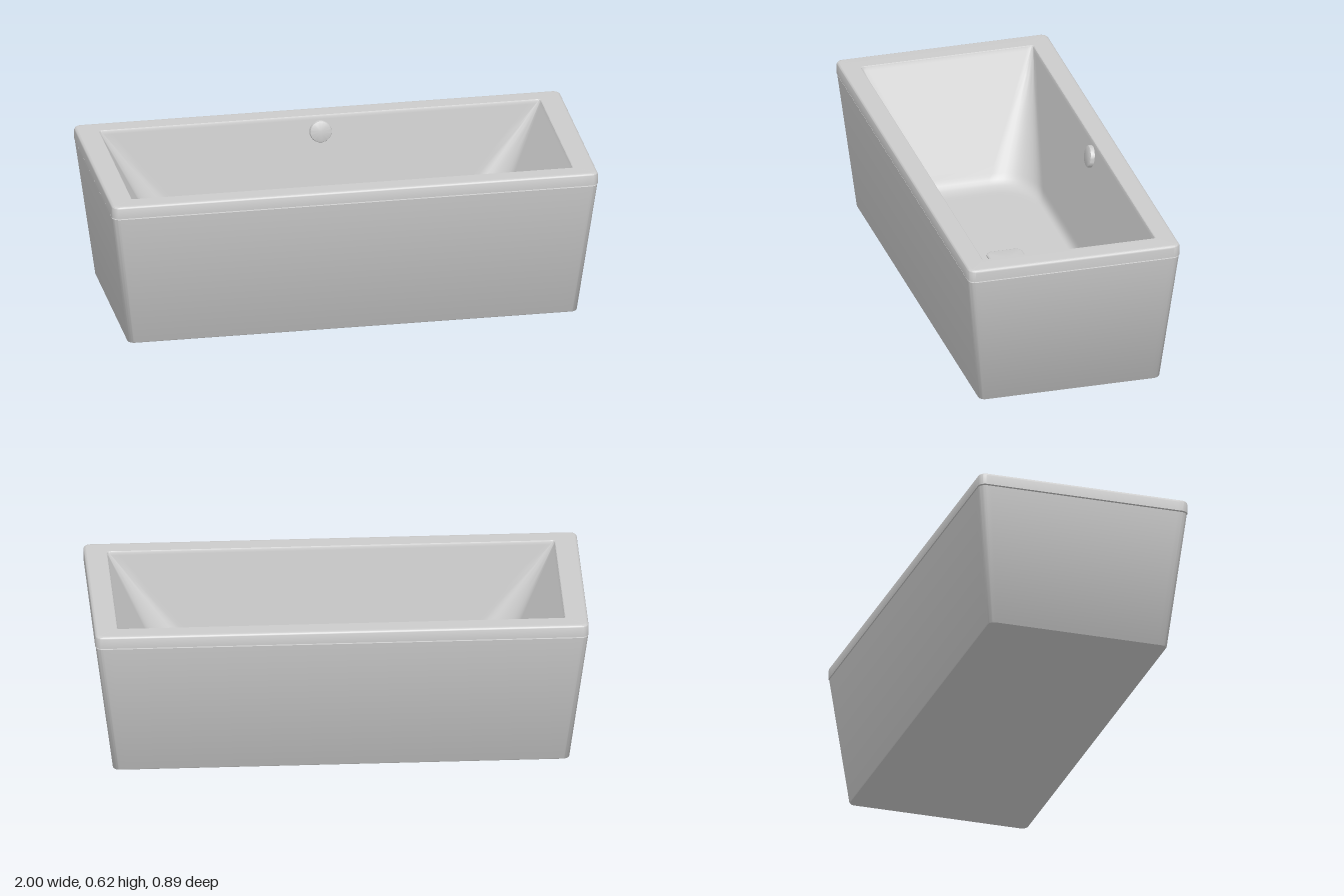
import * as THREE from 'three';
import { toCreasedNormals } from 'three/addons/utils/BufferGeometryUtils.js';

const material = new THREE.MeshStandardMaterial({ color: 0xcccccc });
const CORNER_STEPS = 10;
const FLOOR = 0.14;

// Rounded rectangle outline, counter-clockwise seen from above
function outline([hx, hz, r, y]) {
  const corners = [];
  for (let c = 0; c < 4; c++) {
    const sx = c === 0 || c === 3 ? 1 : -1;
    const sz = c < 2 ? -1 : 1;
    for (let k = 0; k <= CORNER_STEPS; k++) {
      const a = (c + k / CORNER_STEPS) * Math.PI / 2;
      corners.push(new THREE.Vector3(
        sx * (hx - r) + r * Math.cos(a), y, sz * (hz - r) - r * Math.sin(a)));
    }
  }
  // Extra points close to each corner keep the long flat sides evenly shaded
  const points = [];
  corners.forEach((p, i) => {
    points.push(p);
    if (i % (CORNER_STEPS + 1) === CORNER_STEPS) {
      const next = corners[(i + 1) % corners.length];
      for (const t of [0.02, 0.98]) points.push(p.clone().lerp(next, t));
    }
  });
  return points;
}

// Skin a stack of outlines [halfX, halfZ, radius, y], optionally closing its ends
function loft(name, sections, { bottom = false, top = false } = {}) {
  const rings = sections.map(outline);
  const n = rings[0].length;
  const positions = rings.flat().flatMap((p) => p.toArray());
  const index = [];
  for (let i = 0; i < rings.length - 1; i++) {
    for (let j = 0; j < n; j++) {
      const k = (j + 1) % n;
      const a = i * n + j, b = i * n + k;
      index.push(a, b, b + n, a, b + n, a + n);
    }
  }
  const cap = (ring, flip) => {
    const centre = positions.length / 3;
    positions.push(0, sections[ring][3], 0);
    for (let j = 0; j < n; j++) {
      const a = ring * n + j, b = ring * n + (j + 1) % n;
      index.push(centre, flip ? b : a, flip ? a : b);
    }
  };
  if (bottom) cap(0, true);
  if (top) cap(rings.length - 1, false);
  const geometry = new THREE.BufferGeometry();
  geometry.setAttribute('position', new THREE.Float32BufferAttribute(positions, 3));
  geometry.setIndex(index);
  const mesh = new THREE.Mesh(toCreasedNormals(geometry, 0.6), material);
  mesh.name = name;
  return mesh;
}

export function createModel() {
  const tub = new THREE.Group();
  tub.name = 'bathtub';

  // Tapered outer casing, ending in a narrow shadow gap below the rim
  tub.add(loft('casing', [
    [0.922, 0.378, 0.025, 0],
    [0.925, 0.381, 0.028, 0.004],
    [0.998, 0.443, 0.03, 0.57],
    [0.988, 0.433, 0.025, 0.572],
    [0.988, 0.433, 0.025, 0.578],
  ], { bottom: true }));

  // Flat rim with rounded upper edge
  const rim = [
    [0.985, 0.43, 0.02, 0.575],
    [1, 0.445, 0.03, 0.575],
    [1, 0.445, 0.03, 0.58],
  ];
  const edge = 0.012;
  for (let k = 0; k <= 5; k++) {
    const a = k / 5 * Math.PI / 2;
    const inset = edge * (1 - Math.cos(a));
    rim.push([1 - inset, 0.445 - inset, 0.03 - inset, 0.625 - edge * (1 - Math.sin(a))]);
  }
  rim.push([0.983, 0.428, 0.015, 0.625], [0.914, 0.369, 0.012, 0.625], [0.91, 0.365, 0.01, 0.625]);
  tub.add(loft('rim', rim));

  // Basin: crisp corners at the opening open into broad curves at the floor
  const wall = (t) => [
    THREE.MathUtils.lerp(0.905, 0.65, t),
    THREE.MathUtils.lerp(0.36, 0.28, t),
    THREE.MathUtils.lerp(0.008, 0.18, t),
    THREE.MathUtils.lerp(0.618, FLOOR, t),
  ];
  const basin = [[0.91, 0.365, 0.01, 0.625], [0.907, 0.362, 0.009, 0.623]];
  for (const t of [0, 0.02, 0.2, 0.4, 0.6, 0.8, 0.9]) basin.push(wall(t));
  // Fillet between wall and floor
  const start = wall(0.92);
  const foot = wall(1);
  const end = [0.6, 0.25, 0.15, FLOOR];
  for (let k = 0; k <= 6; k++) {
    const t = k / 6;
    basin.push(start.map((s, i) => (1 - t) ** 2 * s + 2 * t * (1 - t) * foot[i] + t * t * end[i]));
  }
  basin.push([0.58, 0.23, 0.14, FLOOR]);
  tub.add(loft('basin', basin, { top: true }));

  // Square drain cover standing just proud of the floor
  tub.add(loft('drainCover', [
    [0.075, 0.075, 0.027, FLOOR - 0.005],
    [0.075, 0.075, 0.027, FLOOR + 0.006],
    [0.072, 0.072, 0.025, FLOOR + 0.009],
    [0.068, 0.068, 0.022, FLOOR + 0.01],
  ], { top: true }));

  // Round overflow cover on the back wall, leaning with it
  const profile = [[0.045, -0.01], [0.045, 0.012], [0.043, 0.016], [0.039, 0.018], [0, 0.018]]
    .map(([x, y]) => new THREE.Vector2(x, y));
  const overflow = new THREE.Mesh(
    toCreasedNormals(new THREE.LatheGeometry(profile, 40), 0.6), material);
  overflow.name = 'overflowCover';
  overflow.position.set(0, 0.56, -0.35);
  overflow.rotation.x = Math.PI / 2 - 0.165;
  tub.add(overflow);

  return tub;
}
